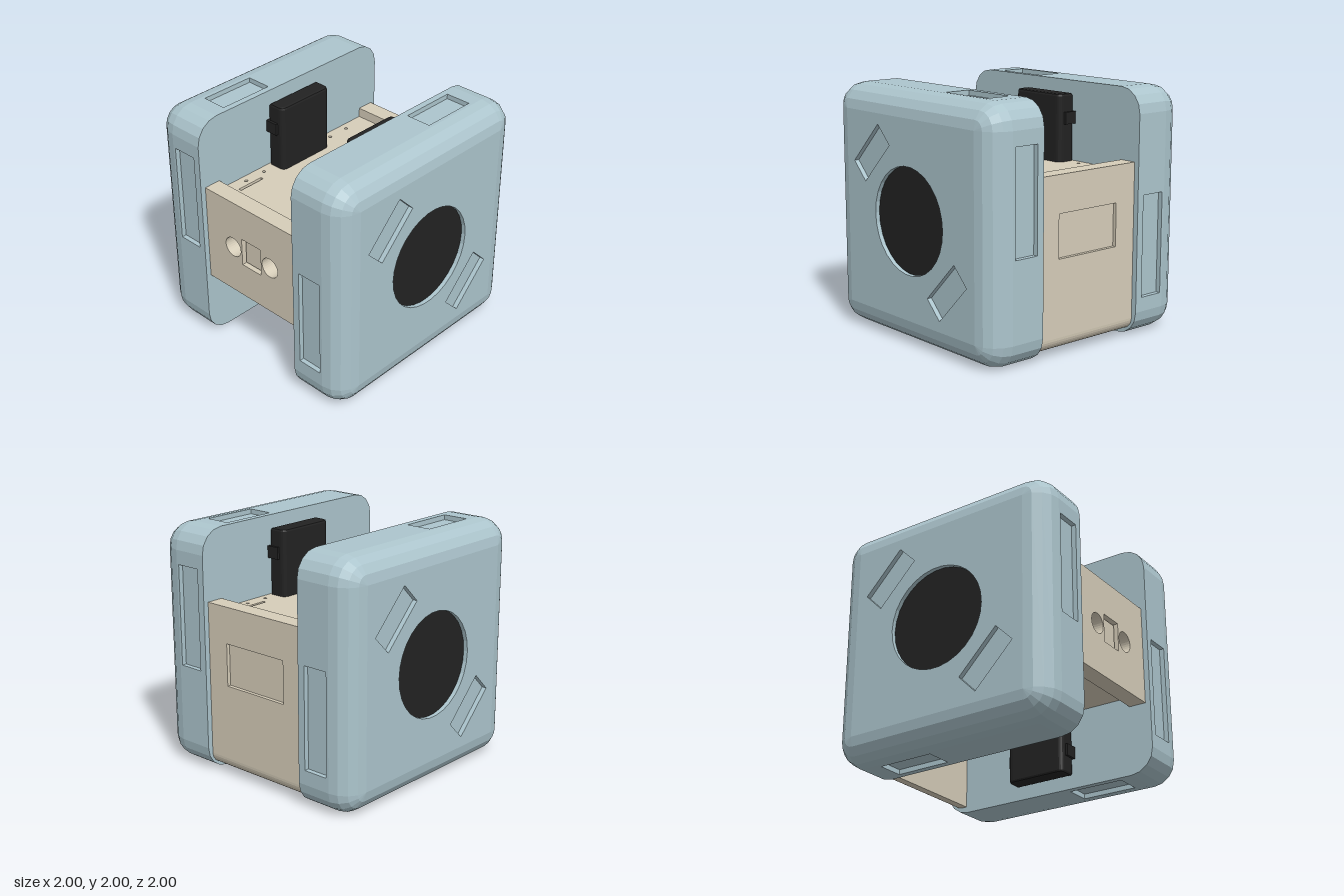
import * as THREE from 'three';

const blue = new THREE.MeshStandardMaterial({ color: 0xacc5cd });
blue.name = 'pale blue';
const tan = new THREE.MeshStandardMaterial({ color: 0xd6cdb9 });
tan.name = 'warm tan';
const black = new THREE.MeshStandardMaterial({ color: 0x222222 });
black.name = 'black';

function add(parent, name, geometry, material, x = 0, y = 0, z = 0) {
  const mesh = new THREE.Mesh(geometry, material);
  mesh.name = name;
  mesh.position.set(x, y, z);
  parent.add(mesh);
  return mesh;
}

// Box given by its limits on each axis
function block(parent, name, material, [x0, x1], [y0, y1], [z0, z1]) {
  return add(parent, name, new THREE.BoxGeometry(x1 - x0, y1 - y0, z1 - z0), material,
    (x0 + x1) / 2, (y0 + y1) / 2, (z0 + z1) / 2);
}

function rectPath(cx, cy, w, h, angle = 0, Type = THREE.Path) {
  const c = Math.cos(angle), s = Math.sin(angle);
  return new Type([[-1, -1], [1, -1], [1, 1], [-1, 1]].map(([i, j]) => {
    const u = i * w / 2, v = j * h / 2;
    return new THREE.Vector2(cx + u * c - v * s, cy + u * s + v * c);
  }));
}

function circlePath(cx, cy, r) {
  return new THREE.Path().absarc(cx, cy, r, 0, Math.PI * 2);
}

// Plate whose outer face lies at local z = 0, pierced by holes
function plate(w, h, holes, depth) {
  const shape = rectPath(0, 0, w, h, 0, THREE.Shape);
  shape.holes.push(...holes);
  return new THREE.ExtrudeGeometry(shape, { depth, bevelEnabled: false, curveSegments: 15 })
    .translate(0, 0, -depth);
}

const R = 0.2, CORE = 0.8, SEG = 4, POCKET = 0.04;

// Rounded square outline with corner radius r around the flat core
function outline(r) {
  const pts = [];
  for (let q = 0; q < 4; q++) {
    const a0 = q * Math.PI / 2;
    const cx = CORE * (q === 0 || q === 3 ? 1 : -1), cy = CORE * (q < 2 ? 1 : -1);
    for (let i = 0; i <= SEG; i++) {
      const a = a0 + i / SEG * Math.PI / 2;
      pts.push(new THREE.Vector2(cx + r * Math.cos(a), cy + r * Math.sin(a)));
    }
  }
  return pts;
}

// Faceted rounded edges and corners; the flat sides are left for the plates
function roundedEdges() {
  const levels = [{ z: 0.5, r: R }];
  for (let i = 0; i <= SEG; i++) {
    const t = i / SEG * Math.PI / 2;
    levels.push({ z: CORE + R * Math.sin(t), r: R * Math.cos(t) });
  }
  const loops = levels.map(({ z, r }) => outline(r).map((p) => [p.x, p.y, z]));
  const pos = [], n = loops[0].length;
  for (let l = 0; l < loops.length - 1; l++) {
    for (let i = 0; i < n; i++) {
      if (l === 0 && i % (SEG + 1) === SEG) continue;
      const j = (i + 1) % n;
      const a = loops[l][i], b = loops[l][j], c = loops[l + 1][j], d = loops[l + 1][i];
      pos.push(...a, ...b, ...c, ...a, ...c, ...d);
    }
  }
  const g = new THREE.BufferGeometry();
  g.setAttribute('position', new THREE.Float32BufferAttribute(pos, 3));
  g.computeVertexNormals();
  return g;
}

function makeSlab() {
  const slab = new THREE.Group();
  add(slab, 'roundedEdges', roundedEdges(), blue);
  const inner = add(slab, 'innerFace', new THREE.ShapeGeometry(new THREE.Shape(outline(R))), blue, 0, 0, 0.5);
  inner.rotation.y = Math.PI;

  // Core blocks form the floors of the pockets
  const f = 1 - POCKET, z = [0.505, CORE];
  block(slab, 'coreWide', blue, [-f, f], [-CORE, CORE], z);
  block(slab, 'coreTall', blue, [-CORE, CORE], [-f, f], z);
  block(slab, 'coreFront', blue, [-CORE, CORE], [-CORE, CORE], [0.51, f]);

  // Front plate with round window and two slanted pockets
  const slanted = [1, -1].map((s) => rectPath(-0.47 * s, 0.475 * s, 0.465, 0.21, Math.PI / 4));
  add(slab, 'frontPlate', plate(1.6, 1.6, [circlePath(0, 0, 0.43), ...slanted], POCKET), blue, 0, 0, 1);
  add(slab, 'roundPanel', new THREE.CircleGeometry(0.43, 30), black, 0, 0, f + 0.004);

  // Side, top and bottom plates, each with one pocket
  for (const s of [1, -1]) {
    const side = add(slab, 'sidePlate',
      plate(0.3, 1.6, [rectPath(-0.02 * s, 0.265 * s, 0.215, 0.835)], POCKET), blue, s, 0, 0.65);
    side.rotation.y = s * Math.PI / 2;
    const end = add(slab, s > 0 ? 'topPlate' : 'bottomPlate',
      plate(1.6, 0.3, [rectPath(0.44 * s, -0.012 * s, 0.475, 0.215)], POCKET), blue, 0, s, 0.65);
    end.rotation.x = -s * Math.PI / 2;
  }
  return slab;
}

// Upright bar with rounded inner corners and side lugs
function makeClip() {
  const clip = new THREE.Group();
  const w = 0.265, z0 = 0.335, z1 = 0.48, r = 0.05;
  const s = new THREE.Shape();
  s.moveTo(-w, -z1);
  s.lineTo(w, -z1);
  s.lineTo(w, -z0 - r);
  s.quadraticCurveTo(w, -z0, w - r, -z0);
  s.lineTo(-w + r, -z0);
  s.quadraticCurveTo(-w, -z0, -w, -z0 - r);
  const b = 0.02;
  const bar = new THREE.ExtrudeGeometry(s, {
    depth: 1.8 - 2 * b, bevelSize: b, bevelOffset: -b, bevelThickness: b, bevelSegments: 2, curveSegments: 5,
  });
  bar.rotateX(-Math.PI / 2);
  add(clip, 'bar', bar, black, 0, -0.9 + b, 0);
  for (const y of [0.7, -0.7]) block(clip, 'lug', black, [-0.285, 0.285], [y - 0.05, y + 0.05], [0.39, 0.5]);
  return clip;
}

function makeBody() {
  const body = new THREE.Group();
  block(body, 'core', tan, [-0.81, 0.81], [0.66, 1.29], [-0.5, 0.5]);

  // Deck with screw holes and slots
  const holes = [rectPath(-0.585, 0.378, 0.24, 0.026), rectPath(0.58, -0.372, 0.24, 0.026)];
  for (const x of [0.385, 0.58]) {
    for (const z of [-0.44, 0.44]) {
      holes.push(circlePath(x, z, 0.014), circlePath(-x, z, 0.014));
      const pin = add(body, 'screwPin', new THREE.CylinderGeometry(0.014, 0.014, 0.04, 12), blue, -x, 1.305, z);
      pin.scale.setScalar(0.98);
    }
  }
  const deck = add(body, 'deck', plate(1.62, 1, holes, 0.05), tan, 0, 1.34, 0);
  deck.rotation.x = -Math.PI / 2;

  // Left wall: long, with a shallow pocket and a rounded lower edge
  block(body, 'leftWallBack', tan, [0.81, 0.925], [0.15, 1.42], [-0.5, 0.5]);
  const left = add(body, 'leftWall', plate(1, 1.27, [rectPath(0, 0.16, 0.605, 0.35)], 0.03), tan, 0.955, 0.785, 0);
  left.rotation.y = Math.PI / 2;
  const lip = new THREE.Shape();
  lip.moveTo(0.81, 0.15);
  lip.lineTo(0.81, 0.05);
  lip.lineTo(0.855, 0.05);
  lip.absarc(0.855, 0.15, 0.1, -Math.PI / 2, 0, false);
  add(body, 'leftWallLip', new THREE.ExtrudeGeometry(lip, { depth: 1, bevelEnabled: false, curveSegments: 4 }), tan, 0, 0, -0.5);

  // Right wall: short, with two round ports and a square socket
  const ports = [-0.205, 0.205].map((z) => circlePath(z, 0, 0.085));
  const right = add(body, 'rightWall', plate(1, 0.84, [...ports, rectPath(0, 0, 0.21, 0.24)], 0.145), tan, -0.955, 1, 0);
  right.rotation.y = -Math.PI / 2;
  block(body, 'socket', tan, [-0.93, -0.81], [0.9, 1.1], [-0.085, 0.085]);
  return body;
}

export function createModel() {
  const model = new THREE.Group();
  const body = makeBody();
  body.name = 'body';
  model.add(body);

  // Front and back halves are the same part turned half way round
  for (const [prefix, turn] of [['front', 0], ['back', Math.PI]]) {
    for (const [part, group] of [['Slab', makeSlab()], ['Clip', makeClip()]]) {
      group.name = prefix + part;
      group.position.y = 1;
      group.rotation.y = turn;
      model.add(group);
    }
  }
  return model;
}
